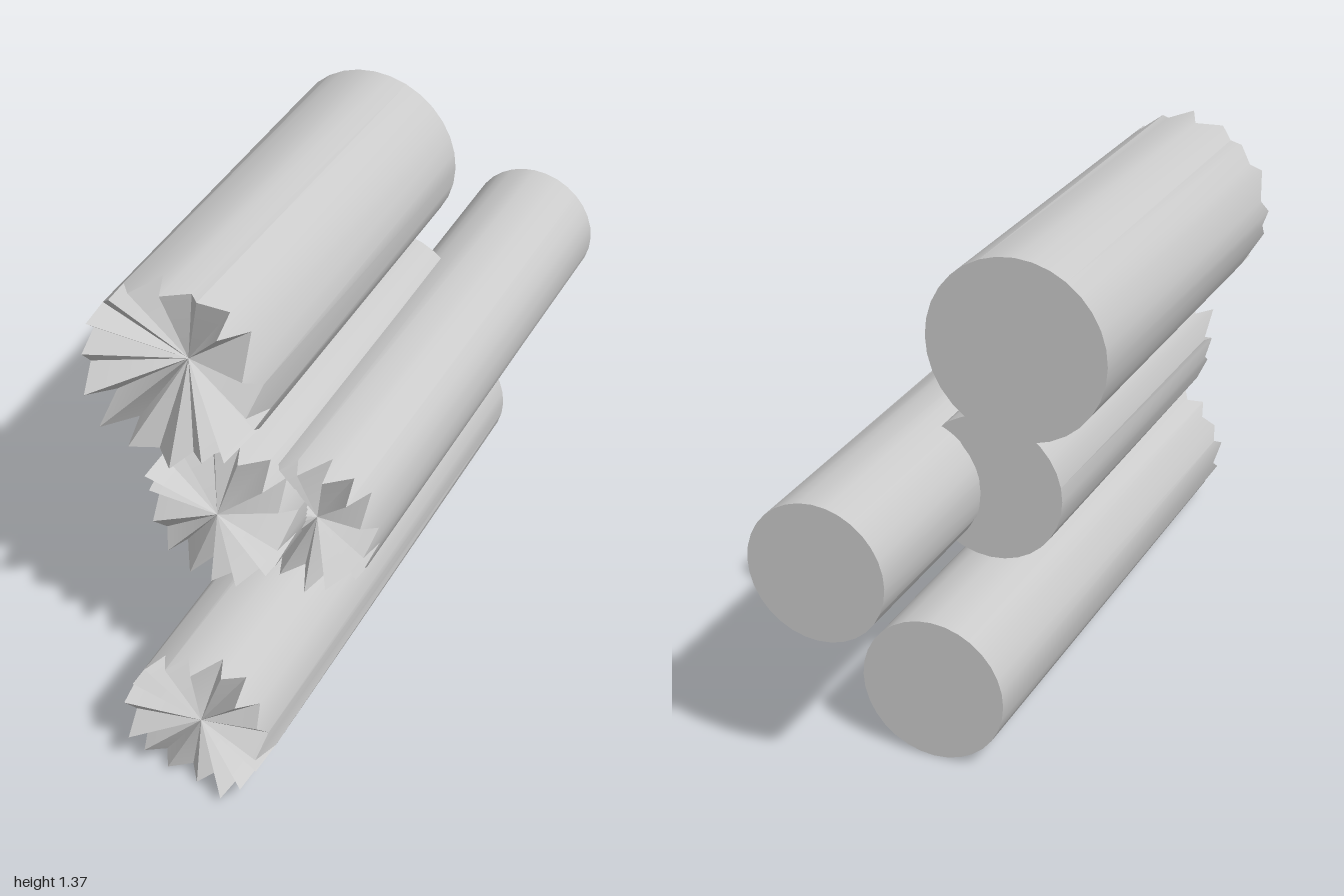
import * as THREE from 'three';
import { toCreasedNormals } from 'three/addons/utils/BufferGeometryUtils.js';

const SIDES = 32;
const material = new THREE.MeshStandardMaterial({ color: 0xcccccc });

// Small seeded generator for the splintered ends
function seeded(seed) {
  let s = seed;
  return () => {
    s = (s * 16807) % 2147483647;
    return s / 2147483647;
  };
}

// A log along z: clean cut at the back, broken teeth around the front rim
function makeLog({ name, x, y, r, back, rim, tooth, core, seed }) {
  const rand = seeded(seed);
  const teeth = Array.from({ length: SIDES }, (_, k) => ({
    z: rim + tooth * (k % 2 ? -1 : 1) * (k === 0 ? 1 : 0.1 + 0.9 * rand()),
    radius: r * (0.96 + 0.055 * rand()),
    turn: (rand() - 0.5) * 0.13,
  }));

  const length = rim - back;
  const geometry = new THREE.CylinderGeometry(r, r, length, SIDES, 1);
  geometry.rotateX(Math.PI / 2);
  geometry.translate(0, 0, back + length / 2);

  const pos = geometry.attributes.position;
  const step = (Math.PI * 2) / SIDES;
  for (let i = 0; i < pos.count; i++) {
    if (pos.getZ(i) < rim - 0.001) continue;
    const px = pos.getX(i), py = pos.getY(i);
    if (Math.hypot(px, py) < r * 0.5) {
      // heart of the broken face
      pos.setXYZ(i, core[0], core[1], core[2]);
      continue;
    }
    const angle = Math.atan2(py, px);
    const t = teeth[(Math.round(angle / step) + SIDES) % SIDES];
    pos.setXYZ(i, t.radius * Math.cos(angle + t.turn), t.radius * Math.sin(angle + t.turn), t.z);
  }

  const mesh = new THREE.Mesh(toCreasedNormals(geometry, 0.35), material);
  mesh.name = name;
  mesh.position.set(x, y, 0);
  return mesh;
}

export function createModel() {
  const group = new THREE.Group();
  group.name = 'logStack';
  const logs = [
    { name: 'topLog', x: -0.127, y: 1.125, r: 0.25, back: -0.5, rim: 0.715, tooth: 0.075, core: [0.012, 0.01, 0.65], seed: 1301 },
    { name: 'middleLog', x: -0.03, y: 0.7, r: 0.205, back: -0.45, rim: 0.675, tooth: 0.07, core: [0, 0, 0.69], seed: 7702 },
    { name: 'sideLog', x: 0.185, y: 0.68, r: 0.19, back: -1, rim: 0.605, tooth: 0.06, core: [0.01, 0, 0.57], seed: 4503 },
    { name: 'bottomLog', x: 0.025, y: 0.212, r: 0.203, back: -0.7, rim: 0.935, tooth: 0.065, core: [0.005, 0.003, 0.93], seed: 9104 },
  ];
  for (const log of logs) group.add(makeLog(log));
  return group;
}
